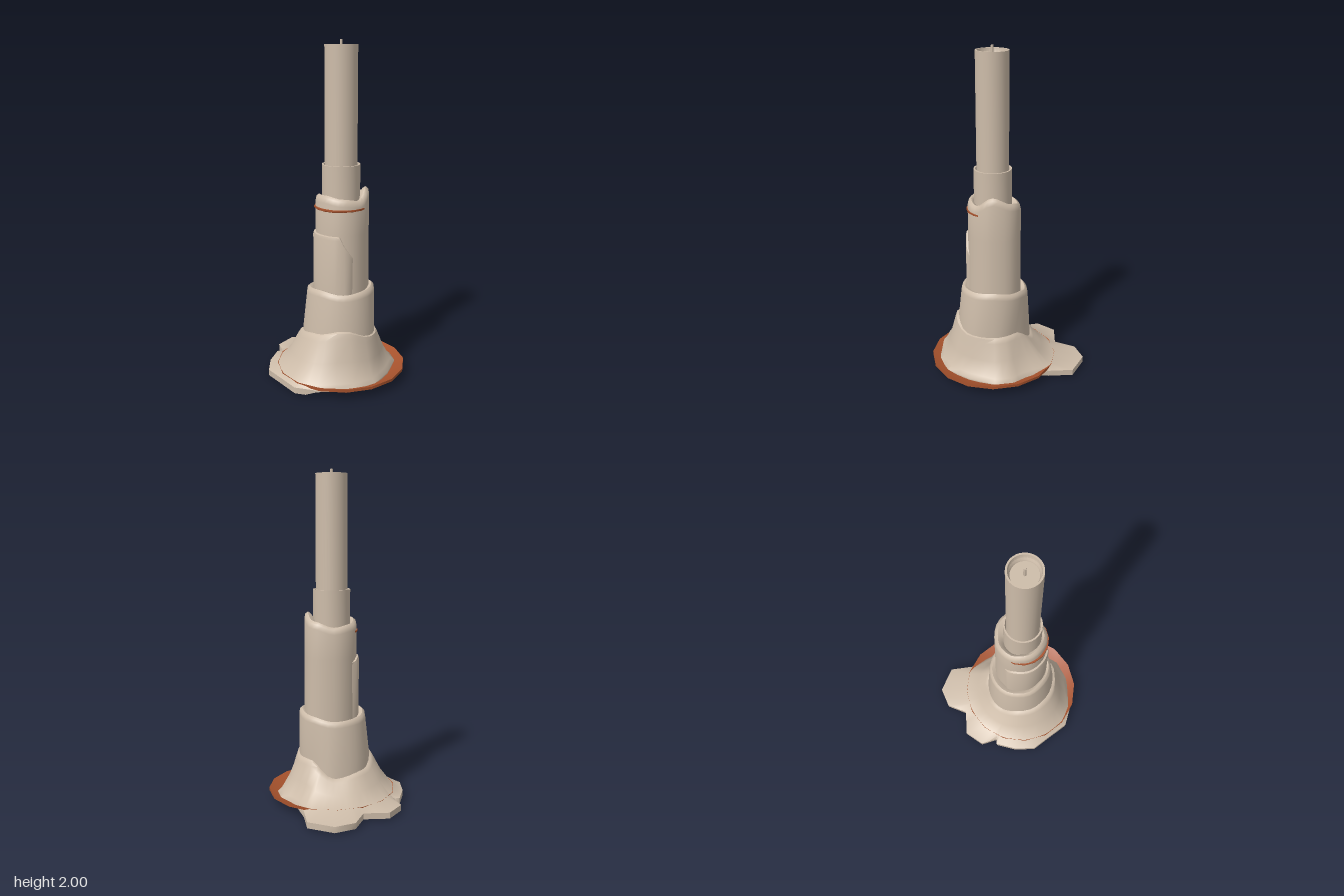
import * as THREE from 'three';
import { toCreasedNormals } from 'three/addons/utils/BufferGeometryUtils.js';

const CX = 0.055, CZ = 0.027, TAU = Math.PI * 2, SEG = 32;

const wax = new THREE.MeshStandardMaterial({ color: 0xcdbca9, side: THREE.DoubleSide });
wax.name = 'wax';
const clay = new THREE.MeshStandardMaterial({ color: 0xa8532d });
clay.name = 'terracotta';

// Smooth value at an angle from eight values: left side (+x), then via the front (+z) round to the back
function around(v, a) {
  if (typeof v === 'number') return v;
  const t = (((a / TAU) % 1) + 1) % 1 * 8, i = Math.floor(t), f = t - i;
  const s = f * f * (3 - 2 * f);
  return v[i % 8] * (1 - s) + v[(i + 1) % 8] * s;
}

const polar = (r, a, y) => [Math.cos(a) * r, y, Math.sin(a) * r];

// Ring whose radius and height may both vary round the axis
function ring(r, y) {
  return Array.from({ length: SEG }, (_, i) => {
    const a = i / SEG * TAU;
    return polar(around(r, a), a, around(y, a));
  });
}

// Skin over a stack of rings, bottom to top
function loft(rings, closed = true) {
  const n = rings[0].length, index = [];
  for (let i = 0; i < rings.length - 1; i++) {
    for (let j = 0; j < (closed ? n : n - 1); j++) {
      const k = (j + 1) % n;
      const a = i * n + j, b = i * n + k, c = a + n, d = b + n;
      index.push(a, c, b, b, c, d);
    }
  }
  const g = new THREE.BufferGeometry();
  g.setAttribute('position', new THREE.Float32BufferAttribute(rings.flat(2), 3));
  g.setIndex(index);
  return toCreasedNormals(g, 0.9);
}

const lathe = (pts, seg) => {
  const g = new THREE.LatheGeometry(pts.map(p => new THREE.Vector2(...p)), seg, Math.PI / 2);
  return toCreasedNormals(g, 0.5);
};

const plus = (v, d) => v.map(x => x + d);

export function createModel() {
  const root = new THREE.Group();
  root.name = 'meltedCandle';
  const body = new THREE.Group();
  body.name = 'candleOnDish';
  body.position.set(CX, 0, CZ);
  root.add(body);
  const add = (name, geometry, material) => {
    const m = new THREE.Mesh(geometry, material);
    m.name = name;
    body.add(m);
  };

  // Dish with a small foot, and the narrow drip ring higher up
  add('dish', lathe([[0, 0], [0.155, 0], [0.155, 0.01], [0.3, 0.012], [0.39, 0.05],
    [0.39, 0.066], [0.3, 0.03], [0, 0.03]], 16), clay);
  add('dripRing', lathe([[0, 1.03], [0.125, 1.03], [0.158, 1.046], [0.158, 1.056], [0, 1.056]], 16), clay);

  // Candle with hollow top, its sleeve and wick
  add('candle', lathe([[0.095, 0.9], [0.095, 1.975], [0.085, 1.975], [0.082, 1.95],
    [0.075, 1.94], [0.073, 1.93], [0, 1.93]], 32), wax);
  add('sleeve', lathe([[0.112, 0.9], [0.112, 1.3], [0.102, 1.3], [0.097, 1.26]], 32), wax);
  const wick = new THREE.CylinderGeometry(0.008, 0.008, 0.08, 8);
  wick.translate(0, 1.96, 0);
  add('wick', wick, wax);

  // Upper run of melted wax with a rounded wavy lip
  const upR = [0.153, 0.15, 0.144, 0.15, 0.158, 0.166, 0.18, 0.165];
  const upY = [1.1, 1.115, 1.13, 1.125, 1.1, 1.085, 1.12, 1.165];
  add('upperWax', loft([
    ring(plus(upR, 0.004), 0.45), ring(upR, 0.9), ring(upR, plus(upY, -0.04)),
    ring(plus(upR, -0.006), plus(upY, -0.012)), ring(plus(upR, -0.022), upY),
    ring(plus(upR, -0.036), plus(upY, -0.008)), ring(0.108, plus(upY, -0.035)),
  ]), wax);

  // Thick drip down the front of the upper run
  const steps = 16, dripRing = (extra, y0, yTop) => Array.from({ length: steps + 1 }, (_, i) => {
    const f = i / steps, a = 0.4 + f * 2.75;
    const y = yTop ? 0.9 - (f < 0.16 ? 0.13 - f * 0.6 : f > 0.85 ? (f - 0.85) * 0.2 : 0) + y0 : y0;
    const edge = i === 0 || i === steps ? 0 : 1;
    return polar(around(upR, a) + 0.001 + extra * edge, a, y);
  });
  add('frontDrip', loft([dripRing(0.014, 0.5), dripRing(0.014, -0.02, true),
    dripRing(0.01, -0.004, true), dripRing(-0.005, 0, true)], false), wax);

  // Collar of wax
  const colR = [0.2, 0.197, 0.192, 0.205, 0.214, 0.212, 0.206, 0.2];
  const lowR = [0.22, 0.222, 0.224, 0.23, 0.236, 0.224, 0.19, 0.198];
  const colY = [0.565, 0.555, 0.57, 0.56, 0.54, 0.53, 0.555, 0.575];
  add('collarWax', loft([
    ring(plus(lowR, 0.008), 0.1), ring(lowR, 0.3), ring(colR, plus(colY, -0.035)),
    ring(plus(colR, -0.004), plus(colY, -0.012)), ring(plus(colR, -0.018), colY),
    ring(plus(colR, -0.034), plus(colY, -0.006)), ring(0.14, plus(colY, -0.03)),
  ]), wax);

  // Spreading skirt and puddle, from its outline on the ground (x, z)
  const outline = [[0.38, 0.1], [0.33, 0.23], [0.18, 0.39], [0.06, 0.445], [-0.075, 0.415],
    [-0.215, 0.385], [-0.305, 0.285], [-0.365, 0.165], [-0.34, 0.14], [-0.43, 0.085],
    [-0.445, -0.05], [-0.335, -0.155], [-0.38, -0.285], [-0.325, -0.4], [-0.165, -0.45],
    [-0.05, -0.35], [0.1, -0.295], [0.2, -0.285], [0.285, -0.22], [0.35, -0.06]];
  // Halve each edge for a rounder skirt
  const fine = outline.flatMap((p, i) => {
    const q = outline[(i + 1) % outline.length];
    return [p, [(p[0] + q[0]) / 2, (p[1] + q[1]) / 2]];
  });
  const topR = plus(lowR, 0.012);
  const topY = [0.29, 0.345, 0.31, 0.28, 0.22, 0.19, 0.28, 0.28];
  const skirt = [[], [], [], [], [], [], [], []];
  for (const [px, pz] of fine) {
    const x = px - CX, z = pz - CZ, a = Math.atan2(z, x), R = Math.hypot(x, z);
    const rt = around(topR, a), yt = around(topY, a), rA = Math.min(R * 0.93, 0.38);
    const mix = f => rt + (rA - rt) * f;
    const inDish = R < 0.385;
    [[R * 0.85, 0.04], [R, inDish ? 0.035 : 0.01], [R, 0.046], [rA, 0.066],
      [mix(0.5), 0.066 + (yt - 0.066) * 0.42], [mix(0.12), 0.066 + (yt - 0.066) * 0.88],
      [rt, yt], [rt - 0.035, yt + 0.01]].forEach(([r, y], k) => skirt[k].push(polar(r, a, y)));
  }
  add('skirtWax', loft(skirt), wax);

  return root;
}
